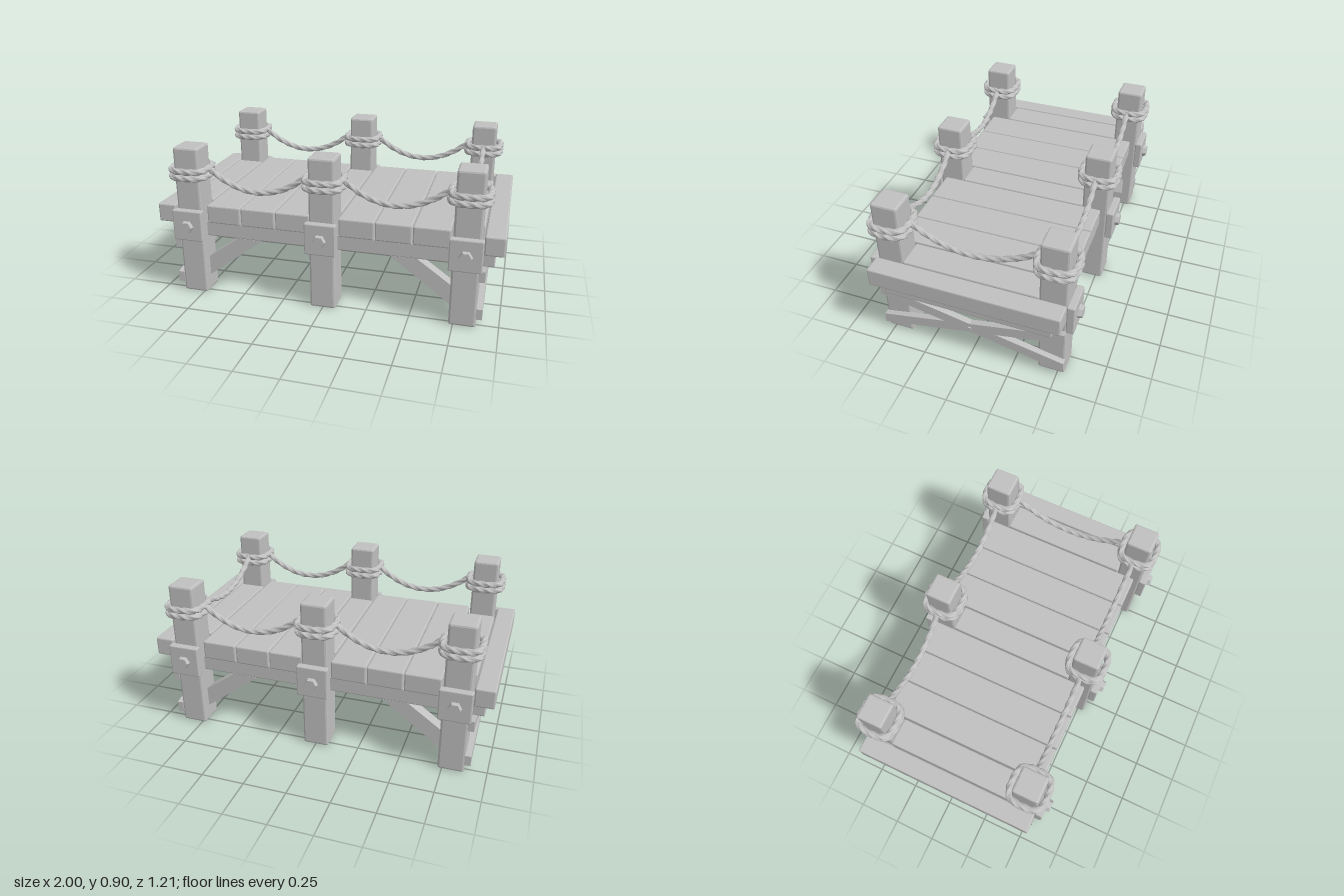
import * as THREE from 'three';
import { RoundedBoxGeometry } from 'three/addons/geometries/RoundedBoxGeometry.js';

export function createModel() {
  const model = new THREE.Group();
  model.name = 'dock';
  const grey = new THREE.MeshStandardMaterial({ color: 0xc0c0c0, flatShading: true });
  grey.name = 'plain grey';

  const add = (name, geometry) => {
    const mesh = new THREE.Mesh(geometry, grey);
    mesh.name = name;
    model.add(mesh);
    return mesh;
  };
  // chamfered timber given by its min and max on each axis
  const timber = (name, x0, x1, y0, y1, z0, z1, bevel = 0.006) => {
    const g = new RoundedBoxGeometry(x1 - x0, y1 - y0, z1 - z0, 1, bevel);
    g.translate((x0 + x1) / 2, (y0 + y1) / 2, (z0 + z1) / 2);
    return add(name, g);
  };
  // flat outline pushed out symmetrically around z = 0
  const slab = (points, depth) => {
    const shape = new THREE.Shape(points.map(p => new THREE.Vector2(p[0], p[1])));
    const g = new THREE.ExtrudeGeometry(shape, { depth, bevelEnabled: false });
    g.translate(0, 0, -depth / 2);
    return g;
  };
  // three-strand rope: a tube whose lobes spiral along its length
  const rope = (name, curve, segments, radius, turns, closed) => {
    const sides = 12;
    const g = new THREE.TubeGeometry(curve, segments, radius, sides, closed);
    const pos = g.attributes.position;
    const v = new THREE.Vector3();
    for (let i = 0; i <= segments; i++) {
      const centre = curve.getPointAt(closed && i === segments ? 0 : i / segments);
      for (let j = 0; j <= sides; j++) {
        const k = i * (sides + 1) + j;
        const angle = j / sides * Math.PI * 2 + i / segments * turns * Math.PI * 2;
        v.fromBufferAttribute(pos, k).sub(centre).multiplyScalar(0.9 + 0.13 * Math.cos(3 * angle)).add(centre);
        pos.setXYZ(k, v.x, v.y, v.z);
      }
    }
    g.computeVertexNormals();
    return add(name, g);
  };
  const hanging = (a, b) => {
    const points = [];
    for (let i = 0; i <= 8; i++) {
      const t = i / 8;
      const p = new THREE.Vector3().lerpVectors(a, b, t);
      p.y -= 0.125 * 4 * t * (1 - t);
      points.push(p);
    }
    return new THREE.CatmullRomCurve3(points);
  };

  const postX = [-0.8, 0, 0.8], postZ = 0.4625;

  // posts with bolted plates and rope wraps
  for (const x of postX) for (const s of [-1, 1]) {
    const z = s * postZ;
    timber('post', x - 0.075, x + 0.075, 0, 0.9, z - 0.077, z + 0.077, 0.012);
    timber('boltPlate', x - 0.09, x + 0.09, 0.35, 0.535, s * 0.56 - 0.022, s * 0.56 + 0.022);
    const bolt = new THREE.CylinderGeometry(0.034, 0.04, 0.03, 6);
    bolt.rotateY(Math.PI / 6);
    bolt.rotateX(s * Math.PI / 2);
    bolt.translate(x, 0.44, s * 0.591);
    add('bolt', bolt);

    for (const y of [0.729, 0.768]) {
      const loop = [];
      const a = 0.096, c = 0.066;
      for (const [px, pz] of [[a, c], [c, a], [-c, a], [-a, c], [-a, -c], [-c, -a], [c, -a], [a, -c]])
        loop.push(new THREE.Vector3(x + px, y, z + pz));
      rope('ropeWrap', new THREE.CatmullRomCurve3(loop, true, 'centripetal'), 48, 0.02, 4, true);
    }
  }

  // hanging ropes along both sides and across one end
  for (const s of [-1, 1]) for (const x of [-0.4, 0.4])
    rope('sideRope', hanging(new THREE.Vector3(x - 0.3, 0.77, s * 0.46), new THREE.Vector3(x + 0.3, 0.77, s * 0.46)), 40, 0.018, 3, false);
  rope('endRope', hanging(new THREE.Vector3(0.8, 0.77, 0.36), new THREE.Vector3(0.8, 0.77, -0.36)), 44, 0.018, 3.5, false);

  // deck planks: [start, end, half length], mirrored about the middle plank
  const planks = [[0.085, 0.289, 0.5], [0.294, 0.5, 0.5], [0.505, 0.709, 0.5], [0.718, 0.882, 0.387], [0.89, 1, 0.54]];
  timber('plank', -0.077, 0.077, 0.44, 0.55, -0.387, 0.387, 0.008);
  for (const [x0, x1, h] of planks) {
    timber('plank', x0, x1, 0.44, 0.55, -h, h, 0.008);
    timber('plank', -x1, -x0, 0.44, 0.55, -h, h, 0.008);
  }

  for (const s of [-1, 1]) {
    // long and end beams beneath the deck
    timber('sideBeam', -0.9, 0.9, 0.35, 0.44, s * 0.44 - 0.04, s * 0.44 + 0.04);
    timber('endBeam', s * 0.915 - 0.035, s * 0.915 + 0.035, 0.35, 0.437, -0.48, 0.48);

    // diagonal knee braces at the corner posts
    for (const d of [-1, 1]) {
      const pts = [[0.38, 0.352], [0.53, 0.352], [0.73, 0.21], [0.73, 0.09]].map(p => [d * p[0], p[1]]);
      add('kneeBrace', slab(pts, 0.07)).position.z = s * 0.445;
    }

    // crossed braces on the outside of the end posts
    for (const d of [-1, 1]) {
      const pts = [[-0.54, 0.055], [0.54, 0.282], [0.54, 0.345], [-0.54, 0.118]].map(p => [d * p[0], p[1]]);
      const brace = add('crossBrace', slab(pts, 0.035));
      brace.rotation.y = Math.PI / 2;
      brace.position.x = s * 0.89;
    }
    const peg = new THREE.BoxGeometry(0.05, 0.016, 0.016);
    peg.translate(s * 0.89, 0.2, 0);
    add('crossPeg', peg);
  }
  return model;
}
